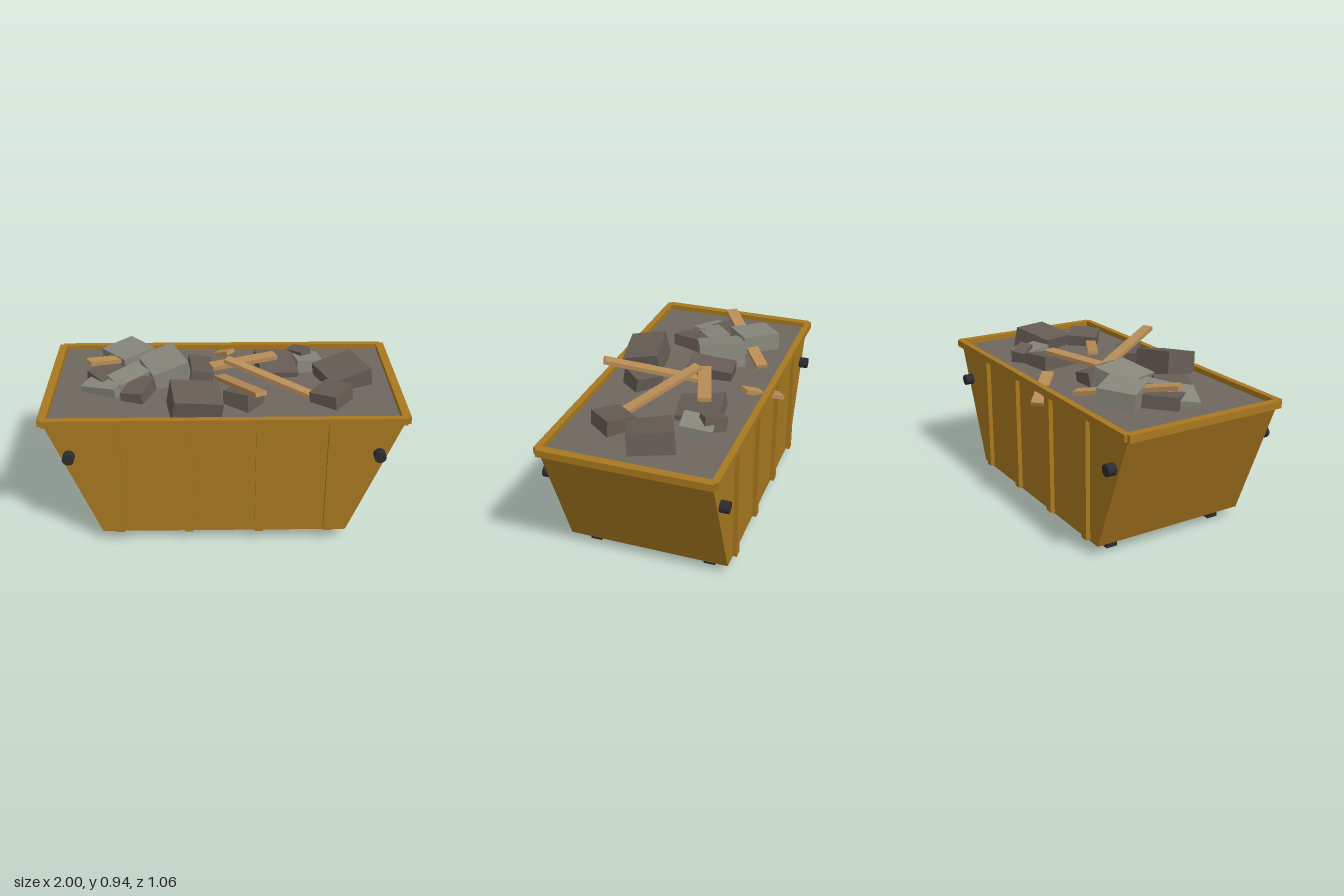
import * as THREE from 'three';

const mat = (color) => new THREE.MeshStandardMaterial({ color, flatShading: true });

export function createModel() {
  const model = new THREE.Group();
  const paint = mat(0xa8781f), black = mat(0x2b2c31), debris = mat(0x6f675f);
  const pale = mat(0x86867b), dark = mat(0x655b54), wood = mat(0xb78c56);
  const ZC = 0.0125; // middle of the tub in depth

  const add = (name, geometry, material, x, y, z, parent = model) => {
    const mesh = new THREE.Mesh(geometry, material);
    mesh.name = name;
    mesh.position.set(x, y, z);
    parent.add(mesh);
    return mesh;
  };
  const box = (name, w, h, d, material, x, y, z) =>
    add(name, new THREE.BoxGeometry(w, h, d), material, x, y, z);

  // Tub with sloping ends
  const side = new THREE.Shape([[-0.69, 0.06], [0.69, 0.06], [0.972, 0.757], [-0.972, 0.757]]
    .map(([x, y]) => new THREE.Vector2(x, y)));
  add('tub', new THREE.ExtrudeGeometry(side, { depth: 0.93, bevelEnabled: false }), paint, 0, 0, ZC - 0.465);
  box('debrisBed', 1.92, 0.016, 0.93, debris, 0, 0.757, ZC);

  for (const s of [-1, 1]) {
    // Rim rails
    box('sideRim', 1.96, 0.04, 0.037, paint, 0, 0.775, ZC + s * 0.4745);
    box('endRim', 0.047, 0.04, 0.95, paint, s * 0.9765, 0.774, ZC);
    // Floor skids
    box('skid', 1.27, 0.06, 0.066, black, 0, 0.03, ZC + s * 0.341);
    // Upright ribs
    for (const x of [-0.59, -0.2, 0.195, 0.585])
      box('rib', 0.048, 0.687, 0.026, paint, x, 0.4135, ZC + s * 0.478);
    // Lifting pins
    for (const x of [-0.845, 0.845])
      add('liftingPin', new THREE.CylinderGeometry(0.033, 0.033, 0.052, 12), black, x, 0.567, ZC + s * 0.489)
        .rotation.x = Math.PI / 2;
  }

  // Rubble: x, z, top height, width, height, depth, yaw, tilt x, tilt z, material
  const rubble = new THREE.Group();
  rubble.name = 'rubble';
  model.add(rubble);
  const blocks = [
    [-0.555, -0.22, 0.885, 0.23, 0.10, 0.215, -0.88, 0.08, 0.03, pale],
    [-0.335, -0.075, 0.885, 0.22, 0.14, 0.265, 0.4, 0.04, 0.22, pale],
    [-0.67, 0.08, 0.82, 0.22, 0.08, 0.16, -0.44, 0.1, 0.12, pale],
    [-0.54, 0.03, 0.845, 0.13, 0.09, 0.21, -0.9, 0.12, -0.12, pale],
    [-0.66, -0.03, 0.83, 0.2, 0.1, 0.15, 0.7, 0.1, 0, dark],
    [-0.475, 0.15, 0.83, 0.13, 0.12, 0.2, -0.35, 0.08, 0.12, dark],
    [-0.135, -0.08, 0.845, 0.13, 0.12, 0.265, 0.08, -0.08, -0.18, dark],
    [-0.16, 0.335, 0.885, 0.27, 0.15, 0.21, 0.14, 0.18, -0.14, dark],
    [0.11, 0.255, 0.845, 0.17, 0.12, 0.15, -0.68, -0.1, 0.12, dark],
    [0.31, -0.17, 0.82, 0.22, 0.12, 0.25, 0.14, 0.14, -0.08, dark],
    [0.5, -0.21, 0.825, 0.155, 0.09, 0.18, 0.15, -0.12, -0.06, pale],
    [0.46, -0.285, 0.845, 0.13, 0.08, 0.08, -0.85, 0.15, 0.2, dark],
    [0.69, -0.02, 0.86, 0.25, 0.14, 0.25, 0.4, 0.06, 0.18, dark],
    [0.6, 0.23, 0.84, 0.17, 0.11, 0.18, -0.65, 0.06, 0.12, dark],
  ];
  for (const [x, z, top, w, h, d, yaw, tx, tz, m] of blocks)
    add('rubbleBlock', new THREE.BoxGeometry(w, h, d), m, x, top - h / 2, z, rubble)
      .rotation.set(tx, yaw, tz, 'YXZ');

  // Planks laid between two end points
  const planks = [
    [[-0.77, 0.895, -0.005], [-0.285, 0.785, -0.345], 0.07],
    [[-0.07, 0.835, -0.06], [0.31, 0.845, -0.185], 0.075],
    [[0.02, 0.885, -0.05], [0.52, 0.785, 0.235], 0.06],
    [[-0.02, 0.785, -0.03], [0.195, 0.925, 0.455], 0.065],
    [[-0.135, 0.698, -0.503], [0.05, 0.8, -0.33], 0.068],
  ];
  for (const [a, b, width] of planks) {
    const from = new THREE.Vector3(...a), to = new THREE.Vector3(...b);
    const mid = from.clone().lerp(to, 0.5);
    add('plank', new THREE.BoxGeometry(width, 0.024, from.distanceTo(to)), wood, mid.x, mid.y, mid.z, rubble)
      .lookAt(to);
  }
  return model;
}
